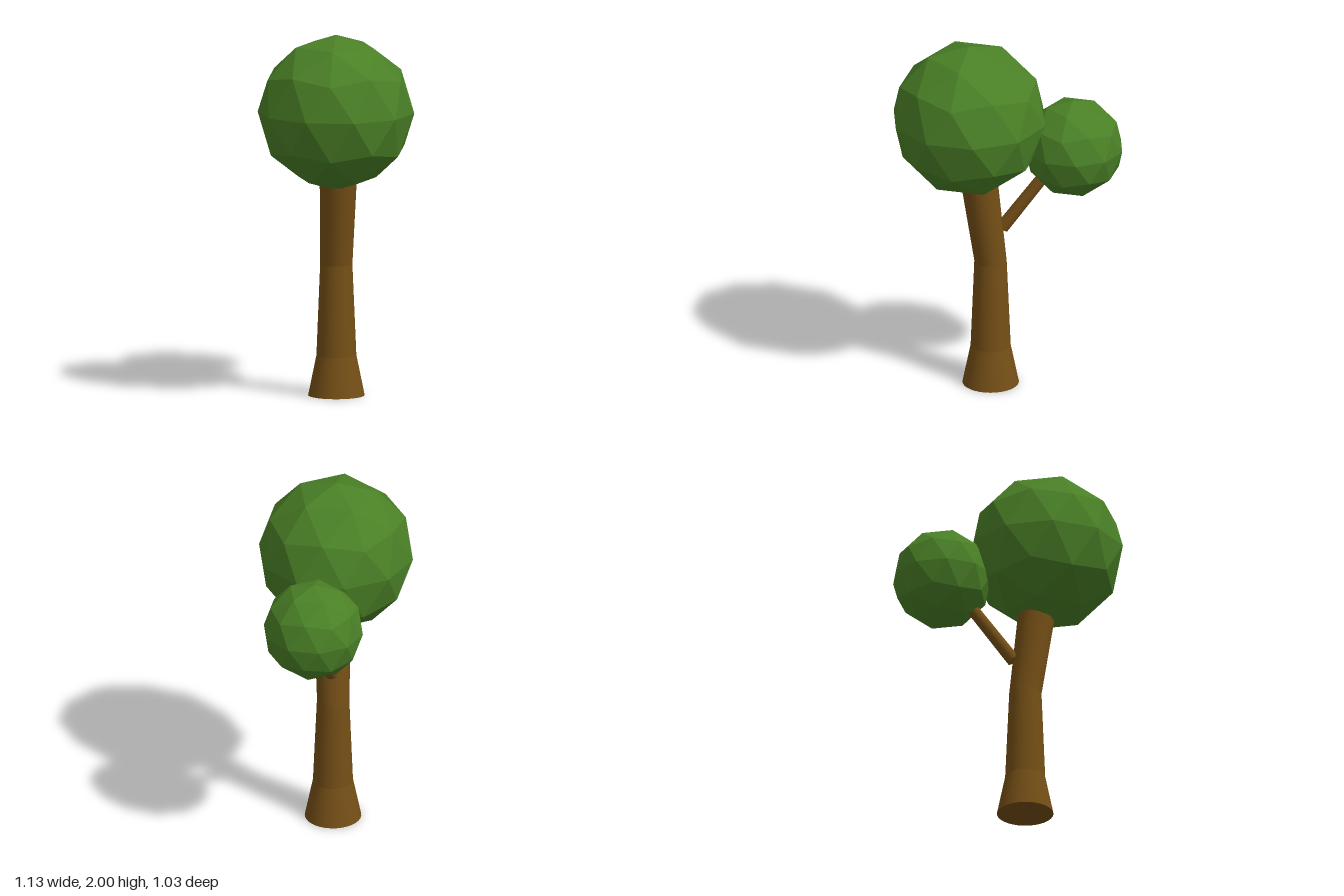
import * as THREE from 'three';
import { mergeGeometries } from 'three/addons/utils/BufferGeometryUtils.js';

const bark = new THREE.MeshStandardMaterial({ color: 0x754f16 });
const leaf = new THREE.MeshStandardMaterial({ color: 0x4a8026, flatShading: true });

// Trunk rings from the ground up: centre and radius
const RINGS = [
  { x: -0.071, y: 0, z: 0.011, r: 0.154 },
  { x: -0.071, y: 0.22, z: 0.011, r: 0.109 },
  { x: -0.072, y: 0.72, z: 0.011, r: 0.088 },
  { x: -0.118, y: 1.26, z: 0.067, r: 0.103 },
];

// One tapered, sheared section between two horizontal rings
function trunkSection(a, b) {
  const h = b.y - a.y;
  const sx = (b.x - a.x) / h, sz = (b.z - a.z) / h;
  const shear = new THREE.Matrix4().set(
    1, sx, 0, a.x,
    0, 1, 0, a.y,
    0, sz, 1, a.z,
    0, 0, 0, 1
  );
  return new THREE.CylinderGeometry(b.r, a.r, h, 32).translate(0, h / 2, 0).applyMatrix4(shear);
}

// Round limb between two points
function limb(from, to, r0, r1) {
  const dir = to.clone().sub(from);
  const len = dir.length();
  const mesh = new THREE.Mesh(new THREE.CylinderGeometry(r1, r0, len, 24).translate(0, len / 2, 0), bark);
  mesh.quaternion.setFromUnitVectors(new THREE.Vector3(0, 1, 0), dir.normalize());
  mesh.position.copy(from);
  return mesh;
}

// Icosphere with a corner straight up and its upper five corners starting at +x
function icosphere(radius) {
  const verts = [0, 1, 0], faces = [];
  const y = 1 / Math.sqrt(5), s = 2 / Math.sqrt(5);
  for (let row = 0; row < 2; row++) {
    for (let i = 0; i < 5; i++) {
      const a = (i + row / 2) * Math.PI * 0.4;
      verts.push(s * Math.cos(a), row ? -y : y, s * Math.sin(a));
    }
  }
  verts.push(0, -1, 0);
  for (let i = 0; i < 5; i++) {
    const j = (i + 1) % 5;
    const u0 = 1 + i, u1 = 1 + j, l0 = 6 + i, l1 = 6 + j;
    faces.push(0, u1, u0, u0, u1, l0, u1, l1, l0, l0, l1, 11);
  }
  const geo = new THREE.PolyhedronGeometry(verts, faces, radius, 1);
  geo.computeVertexNormals();
  return geo;
}

function crown(name, radius, x, y, z) {
  const mesh = new THREE.Mesh(icosphere(radius), leaf);
  mesh.name = name;
  mesh.position.set(x, y, z);
  return mesh;
}

export function createModel() {
  const tree = new THREE.Group();
  tree.name = 'tree';

  // Trunk with flared foot and a bend in the middle
  const sections = RINGS.slice(1).map((ring, i) => trunkSection(RINGS[i], ring));
  const trunk = new THREE.Mesh(mergeGeometries(sections), bark);
  trunk.name = 'trunk';
  tree.add(trunk);

  // Side branch reaching into the small crown
  const branch = limb(new THREE.Vector3(-0.022, 0.915, -0.03), new THREE.Vector3(0.215, 1.3, -0.19), 0.036, 0.032);
  branch.name = 'branch';
  tree.add(branch);

  // Foliage
  tree.add(crown('largeCrown', 0.4275, -0.16, 1.5725, 0.085));
  tree.add(crown('smallCrown', 0.275, 0.302, 1.395, -0.242));
  return tree;
}
